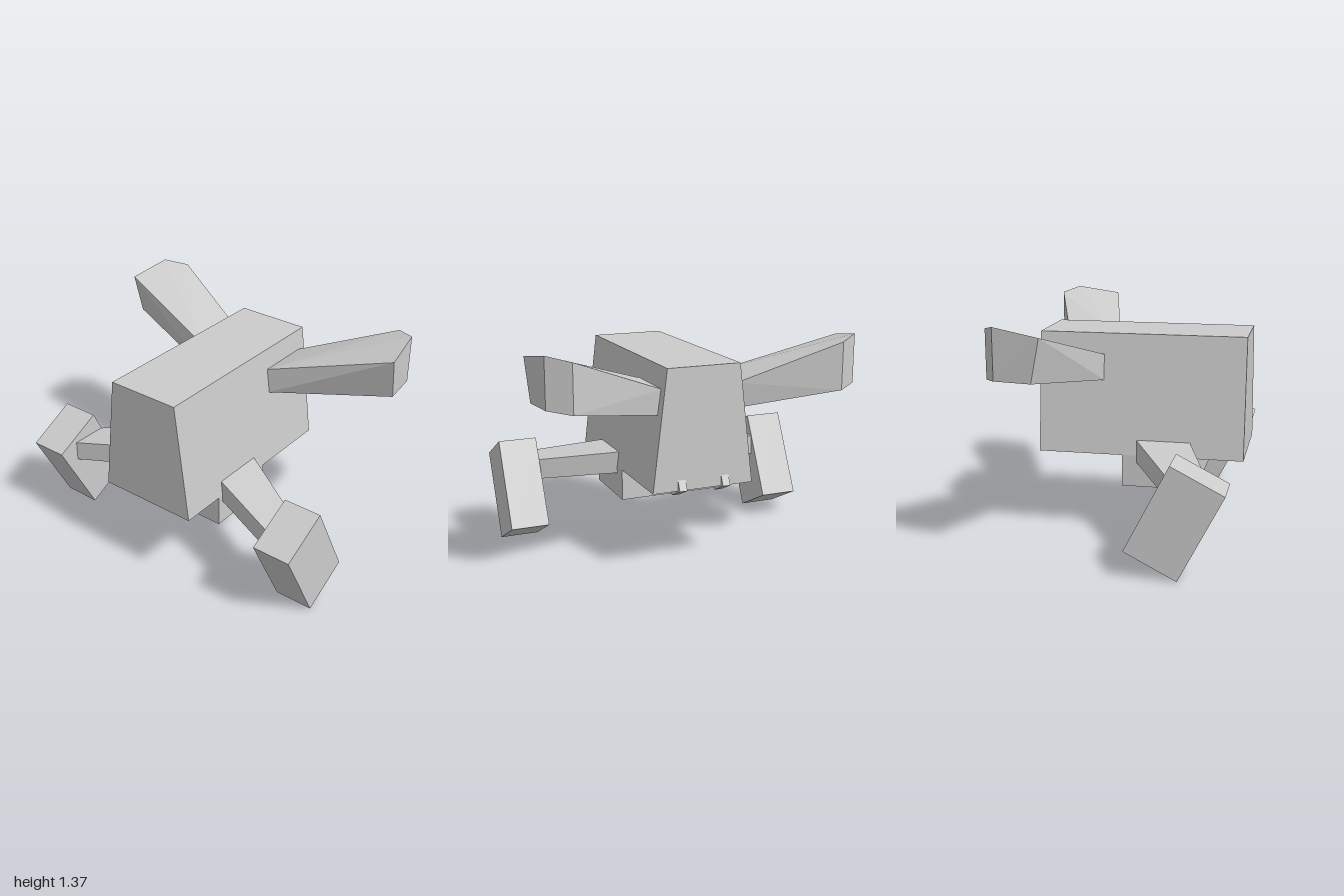
import * as THREE from 'three';
import { ConvexGeometry } from 'three/addons/geometries/ConvexGeometry.js';

const material = new THREE.MeshStandardMaterial({ color: 0xcccccc, flatShading: true });

function add(parent, name, geometry, x = 0, y = 0, z = 0) {
  const mesh = new THREE.Mesh(geometry, material);
  mesh.name = name;
  mesh.position.set(x, y, z);
  parent.add(mesh);
  return mesh;
}

// Flat-sided solid around corner points, mirrored in x when side is -1
function solid(points, side = 1) {
  return new ConvexGeometry(points.map(([x, y, z]) => new THREE.Vector3(x * side, y, z)));
}

// Profile drawn in (z, y), given a thickness along x
function slab(profile, x0, x1, side) {
  return solid(profile.flatMap(([z, y]) => [[x0, y, z], [x1, y, z]]), side);
}

export function createModel() {
  const model = new THREE.Group();
  model.name = 'creature';

  // Body: tapered block, narrower at the top
  const bodyPoints = [];
  for (const z of [-0.56, 0.7]) {
    for (const s of [-1, 1]) bodyPoints.push([0.32 * s, 0.505, z], [0.23 * s, 1.24, z]);
  }
  add(model, 'body', solid(bodyPoints));

  // Hip block under the body
  add(model, 'hips', new THREE.BoxGeometry(0.64, 0.195, 0.455), 0, 0.4075, 0.1875);

  for (const side of [1, -1]) {
    const prefix = side > 0 ? 'left' : 'right';

    // Upper limb: flares outward, with a bevelled rear corner
    add(model, prefix + 'Arm', solid([
      [0.24, 1.11, -0.16], [0.24, 1.11, -0.5],
      [0.255, 0.955, -0.16], [0.255, 0.955, -0.49],
      [1.0, 1.33, -0.345], [0.985, 1.073, -0.4],
      [0.96, 1.375, -0.62], [0.96, 1.075, -0.62],
      [0.83, 1.345, -0.705], [0.83, 1.055, -0.705],
    ], side));

    // Leg: tapers down and forward to the foot
    add(model, prefix + 'Leg', solid([
      [0.305, 0.6, 0.045], [0.305, 0.6, 0.375],
      [0.31, 0.463, 0.045], [0.31, 0.463, 0.375],
      [0.77, 0.53, 0.305], [0.77, 0.53, 0.535],
      [0.77, 0.403, 0.305], [0.77, 0.403, 0.535],
    ], side));

    // Foot: tilted block
    const foot = add(model, prefix + 'Foot', new THREE.BoxGeometry(0.24, 0.568, 0.342), 0.88 * side, 0.331, 0.386);
    foot.rotation.x = 0.472;

    // Small spur at the lower rear edge
    add(model, prefix + 'Spur', slab(
      [[-0.38, 0.506], [-0.475, 0.455], [-0.59, 0.51], [-0.56, 0.57], [-0.5, 0.55]],
      0.115, 0.163, side));
  }
  return model;
}
